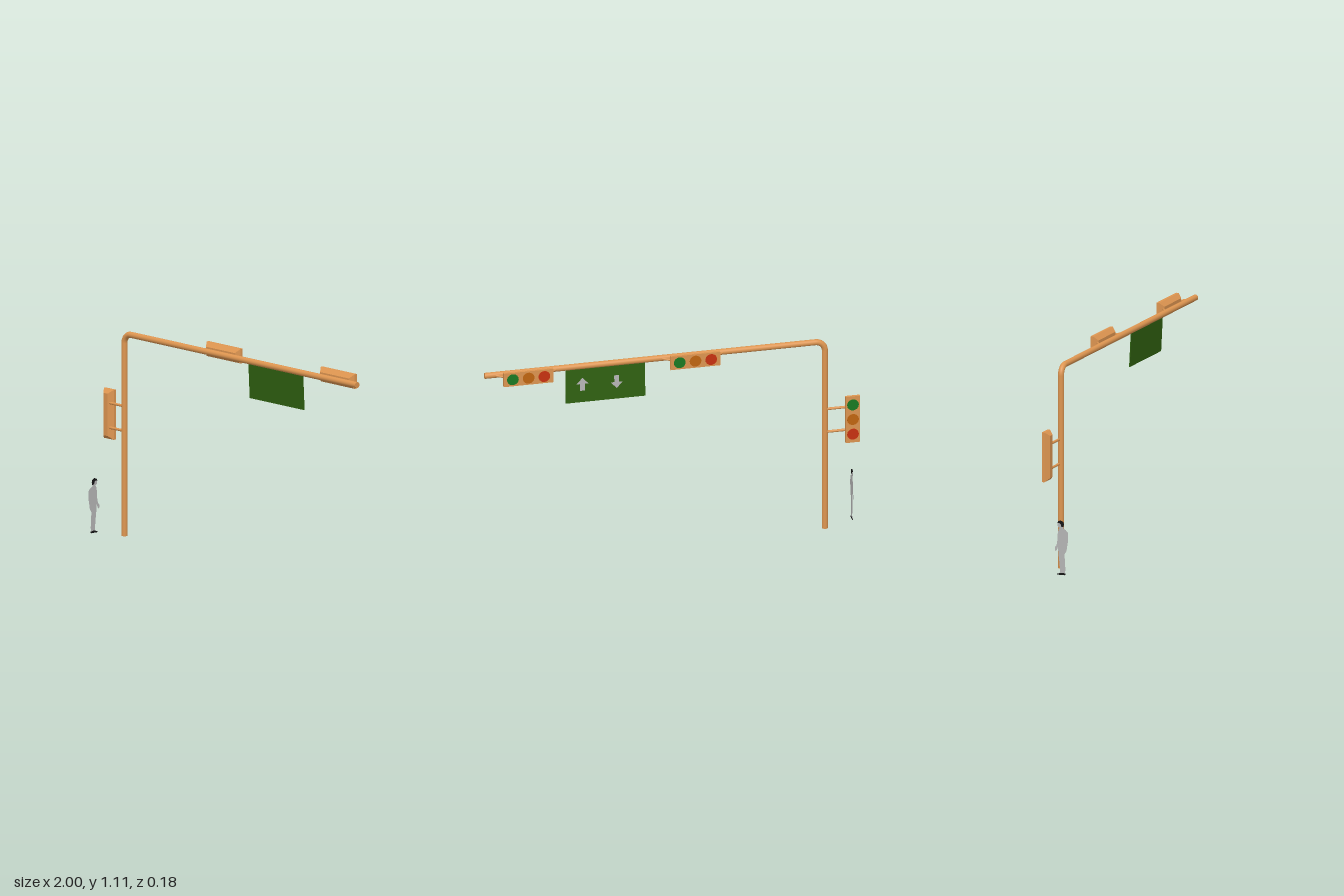
import * as THREE from 'three';

const paint = (color, side = THREE.FrontSide) => new THREE.MeshStandardMaterial({ color, side });
const steel = paint(0xdd9550);
const signGreen = paint(0x2f6010);
const grey = paint(0xb4b4b4, THREE.DoubleSide);
const black = paint(0x151515, THREE.DoubleSide);
const lampMaterials = [0x1a7a22, 0xc06510, 0xc83210].map((c) => paint(c));

function part(name, geometry, material, x = 0, y = 0, z = 0) {
  const mesh = new THREE.Mesh(geometry, material);
  mesh.name = name;
  mesh.position.set(x, y, z);
  return mesh;
}

// Round bar between two points
function bar(name, a, b, radius, sides = 20) {
  const from = new THREE.Vector3(...a), to = new THREE.Vector3(...b);
  const dir = to.clone().sub(from);
  const mesh = part(name, new THREE.CylinderGeometry(radius, radius, dir.length(), sides), steel);
  mesh.position.copy(from).add(to).multiplyScalar(0.5);
  mesh.quaternion.setFromUnitVectors(new THREE.Vector3(0, 1, 0), dir.normalize());
  return mesh;
}

const shapeOf = (points) => new THREE.Shape(points.map(([x, y]) => new THREE.Vector2(x, y)));

// Three-lamp signal, lying along x with the lamps facing +z
function signalHead(name) {
  const head = new THREE.Group();
  head.name = name;
  const w = 0.265, h = 0.077, d = 0.023;
  head.add(part('signalPlate', new THREE.BoxGeometry(w, h, 0.015), steel, 0, 0, -0.0075));

  // Housing narrows away from the plate
  const housing = new THREE.BoxGeometry(w, h, d);
  const p = housing.attributes.position;
  for (let i = 0; i < p.count; i++) {
    if (p.getZ(i) < 0) p.setXY(i, p.getX(i) * 0.85, p.getY(i) * 0.43);
  }
  housing.computeVertexNormals();
  head.add(part('signalHousing', housing, steel, 0, 0, -0.015 - d / 2));

  lampMaterials.forEach((material, i) => {
    const lamp = new THREE.CylinderGeometry(0.031, 0.031, 0.003, 28).rotateX(Math.PI / 2);
    head.add(part(['greenLamp', 'amberLamp', 'redLamp'][i], lamp, material, (i - 1) * 0.084, 0, 0.0005));
  });
  return head;
}

export function createModel() {
  const model = new THREE.Group();
  model.name = 'trafficSignalGantry';
  const r = 0.016, poleX = -0.819, armY = 1.074, z = -0.016, bend = 0.05;

  // Pole, elbow and arm
  model.add(bar('pole', [poleX, 0, z], [poleX, armY - bend, z], r));
  const elbow = new THREE.TorusGeometry(bend, r, 20, 12, Math.PI / 2).rotateZ(Math.PI / 2);
  model.add(part('elbow', elbow, steel, poleX + bend, armY - bend, z));
  model.add(bar('arm', [poleX + bend, armY, z], [1, armY, z], r));

  // Signals on the arm, each on two splayed brackets
  for (const x of [-0.11, 0.782]) {
    const head = signalHead('overheadSignal');
    head.position.set(x, armY - 0.002, -0.09);
    head.rotation.y = Math.PI;
    model.add(head);
    for (const s of [-1, 1]) {
      model.add(bar('armBracket', [x + s * 0.165, armY, -0.025], [x + s * 0.105, armY, -0.062], 0.006, 10));
    }
  }

  // Upright signal beside the pole
  const sideHead = signalHead('sideSignal');
  sideHead.position.set(-0.9615, 0.623, -0.049);
  sideHead.rotation.set(0, Math.PI, -Math.PI / 2);
  model.add(sideHead);
  for (const y of [0.555, 0.686]) {
    model.add(bar('poleBracket', [poleX, y, -0.022], [-0.95, y, -0.022], 0.007, 10));
  }

  // Hanging road sign, leaning slightly backwards at the foot
  const sign = new THREE.Group();
  sign.name = 'roadSign';
  sign.position.set(0.357, 0.967, -0.027);
  sign.rotation.x = 0.05;
  sign.add(part('signPanel', new THREE.BoxGeometry(0.425, 0.185, 0.004), signGreen));
  const arrow = new THREE.ShapeGeometry(shapeOf([
    [-0.013, -0.036], [0.013, -0.036], [0.013, 0.002], [0.033, 0.002],
    [0, 0.036], [-0.033, 0.002], [-0.013, 0.002],
  ]));
  const upArrow = part('upArrow', arrow, grey, 0.123, 0.008, -0.004);
  const downArrow = part('downArrow', arrow, grey, -0.06, 0.004, -0.004);
  upArrow.rotation.y = Math.PI;
  downArrow.rotation.x = Math.PI;
  sign.add(upArrow, downArrow);
  model.add(sign);

  // Flat pedestrian cut-out; shape x runs towards the back (-z)
  const figure = new THREE.Group();
  figure.name = 'pedestrian';
  figure.position.set(-0.98, 0, 0);
  figure.rotation.y = Math.PI / 2;
  const body = shapeOf([
    [-0.073, 0.008], [-0.076, 0.03], [-0.071, 0.112], [-0.082, 0.13], [-0.091, 0.185],
    [-0.09, 0.228], [-0.078, 0.241], [-0.064, 0.249], [-0.065, 0.265], [-0.058, 0.284],
    [-0.04, 0.284], [-0.031, 0.275], [-0.031, 0.262], [-0.036, 0.254], [-0.044, 0.252],
    [-0.037, 0.241], [-0.032, 0.215], [-0.031, 0.185], [-0.026, 0.158], [-0.016, 0.145],
    [-0.016, 0.13], [-0.022, 0.125], [-0.029, 0.135], [-0.034, 0.15], [-0.037, 0.11],
    [-0.043, 0.06], [-0.046, 0.025], [-0.044, 0.012], [-0.03, 0.006],
  ]);
  const hair = shapeOf([
    [-0.064, 0.256], [-0.068, 0.27], [-0.064, 0.284], [-0.05, 0.29], [-0.036, 0.287],
    [-0.03, 0.276], [-0.042, 0.277], [-0.05, 0.27], [-0.053, 0.258],
  ]);
  const shoes = shapeOf([[-0.075, 0.001], [-0.075, 0.01], [-0.06, 0.013], [-0.045, 0.011], [-0.03, 0.006], [-0.03, 0.001]]);
  figure.add(part('body', new THREE.ShapeGeometry(body), grey));
  for (const side of [-0.001, 0.001]) {
    figure.add(part('hair', new THREE.ShapeGeometry(hair), black, 0, 0, side));
    figure.add(part('shoes', new THREE.ShapeGeometry(shoes), black, 0, 0, side));
  }
  model.add(figure);

  return model;
}
